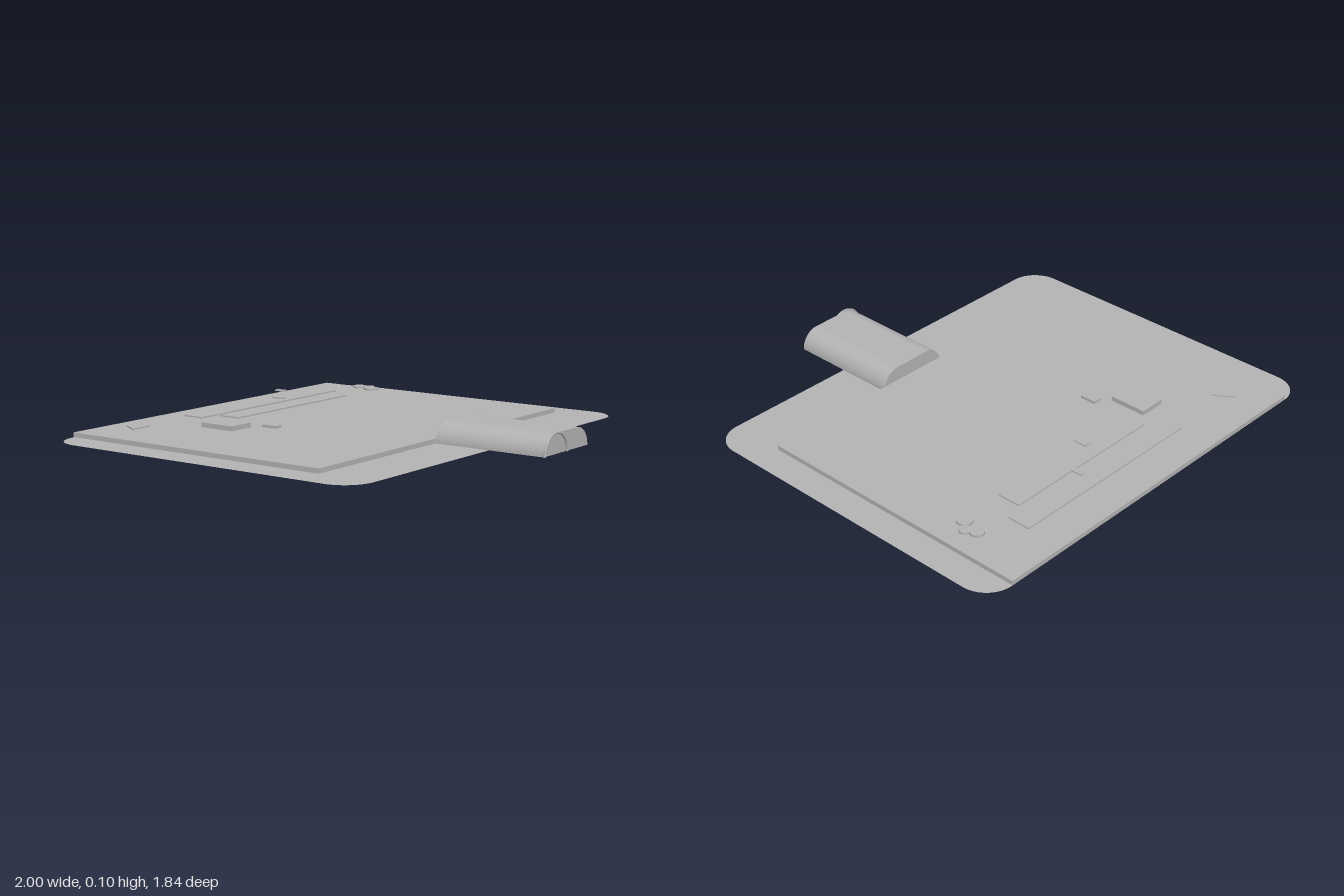
import * as THREE from 'three';

export function createModel() {
  const group = new THREE.Group();
  group.name = 'panelWithHandle';
  const grey = new THREE.MeshStandardMaterial({ color: 0xb3b3b3, side: THREE.DoubleSide });
  grey.name = 'grey';

  const add = (name, geometry) => {
    const mesh = new THREE.Mesh(geometry, grey);
    mesh.name = name;
    group.add(mesh);
    return mesh;
  };

  // Box given by its limits on each axis
  const box = (name, x0, x1, y0, y1, z0, z1) =>
    add(name, new THREE.BoxGeometry(x1 - x0, y1 - y0, z1 - z0))
      .position.set((x0 + x1) / 2, (y0 + y1) / 2, (z0 + z1) / 2);

  // Thin base sheet with rounded corners (shape y becomes -z)
  const W = 1, back = 0.92, front = -0.645, r = 0.13;
  const outline = new THREE.Shape();
  outline.absarc(W - r, back - r, r, 0, Math.PI / 2);
  outline.absarc(-W + r, back - r, r, Math.PI / 2, Math.PI);
  outline.absarc(-W + r, front + r, r, Math.PI, Math.PI * 1.5);
  outline.absarc(W - r, front + r, r, Math.PI * 1.5, Math.PI * 2);
  const sheet = add('baseSheet', new THREE.ShapeGeometry(outline, 12).rotateX(-Math.PI / 2));
  sheet.position.y = 0.009;

  // Raised main plate
  box('mainPlate', -0.868, 0.868, 0.01, 0.03, -0.92, 0.387);

  // Handle: flat bottom, two rounded shoulders
  const profile = new THREE.Shape();
  profile.moveTo(-0.087, 0);
  profile.lineTo(0.258, 0);
  profile.absarc(0.173, 0, 0.085, 0, Math.PI / 2);
  profile.absarc(0, 0, 0.086, Math.PI / 2, Math.PI);
  const handle = add('handle', new THREE.ExtrudeGeometry(profile, {
    depth: 0.518, bevelEnabled: false, curveSegments: 16,
  }));
  handle.position.set(0, 0.01, 0.387);

  // Half ring on the handle's front end
  const halfRing = add('handleEndRing', new THREE.TorusGeometry(0.088, 0.005, 8, 32, Math.PI));
  halfRing.position.set(0, 0.01, 0.91);

  // Ring under the sheet
  const ring = add('undersideRing', new THREE.TorusGeometry(0.128, 0.005, 8, 48).rotateX(Math.PI / 2));
  ring.position.set(-0.74, 0.005, 0.258);

  // Hovering strips with small tabs above them
  box('longStrip', -0.35, 0.605, 0.044, 0.05, -0.765, -0.66);
  box('shortStrip', -0.26, 0.52, 0.044, 0.05, -0.635, -0.53);
  box('longStripTab', 0.224, 0.247, 0.088, 0.094, -0.722, -0.672);
  box('shortStripTab', 0.054, 0.079, 0.088, 0.094, -0.6, -0.54);

  // Blocks standing on the plate
  box('largeBlock', -0.455, -0.332, 0.03, 0.051, -0.572, -0.4);
  box('smallBlock', -0.3, -0.259, 0.03, 0.042, -0.365, -0.29);

  // Triangular marker
  const triangle = new THREE.Shape([
    new THREE.Vector2(-0.74, 0.7),
    new THREE.Vector2(-0.635, 0.7),
    new THREE.Vector2(-0.688, 0.785),
  ]);
  add('triangleMarker', new THREE.ExtrudeGeometry(triangle, { depth: 0.006, bevelEnabled: false })
    .rotateX(-Math.PI / 2)).position.y = 0.044;

  // Cluster of discs
  for (const [x, z, radius, height] of [
    [0.758, -0.636, 0.03, 0.01],
    [0.736, -0.55, 0.034, 0.01],
    [0.778, -0.592, 0.026, 0.008],
  ]) {
    const disc = add('disc', new THREE.CylinderGeometry(radius, radius, height, 28));
    disc.position.set(x, 0.045 + height / 2, z);
  }

  return group;
}
